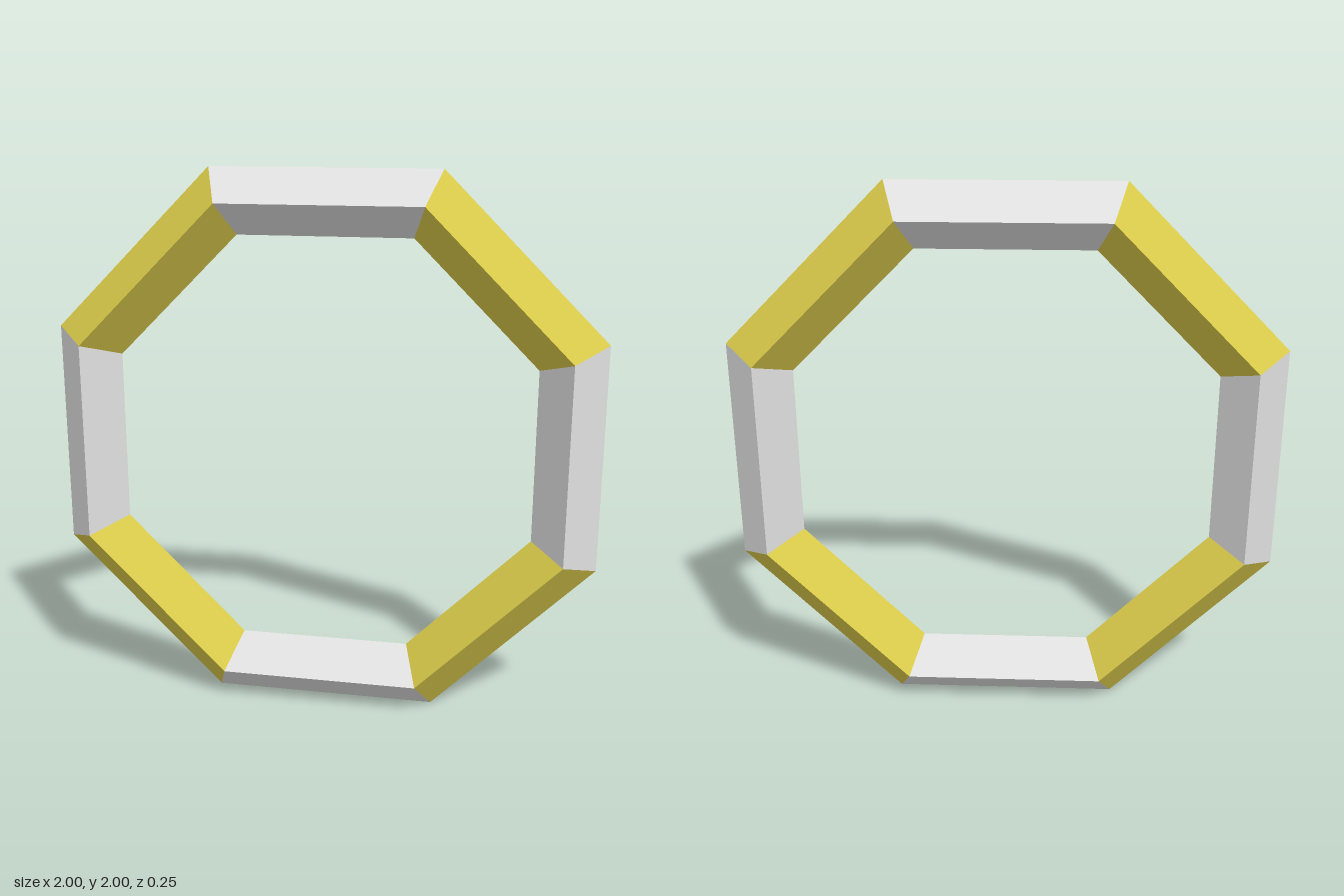
import * as THREE from 'three';

const SIDES = 8;
const TAN = Math.tan(Math.PI / SIDES);
// Diamond cross-section: [distance from ring centre, z]
const PROFILE = [[1, 0], [0.882, 0.127], [0.764, 0], [0.882, -0.127]];

// One straight bar along x at the top of the ring, with mitred ends
function mitredBar() {
  const positions = [];
  PROFILE.forEach(([r0, z0], i) => {
    const [r1, z1] = PROFILE[(i + 1) % PROFILE.length];
    const a = [-r0 * TAN, r0, z0];
    const b = [r0 * TAN, r0, z0];
    const c = [r1 * TAN, r1, z1];
    const d = [-r1 * TAN, r1, z1];
    positions.push(...a, ...c, ...b, ...a, ...d, ...c);
  });
  const geometry = new THREE.BufferGeometry();
  geometry.setAttribute('position', new THREE.Float32BufferAttribute(positions, 3));
  geometry.computeVertexNormals();
  return geometry;
}

export function createModel() {
  const white = new THREE.MeshStandardMaterial({ color: 0xe0e0e0 });
  white.name = 'white';
  const yellow = new THREE.MeshStandardMaterial({ color: 0xdacb4b });
  yellow.name = 'yellow';

  const model = new THREE.Group();
  model.name = 'octagonalRing';

  // Eight bars around the ring, alternating colours
  const bar = mitredBar();
  for (let i = 0; i < SIDES; i++) {
    const mesh = new THREE.Mesh(bar, i % 2 ? yellow : white);
    mesh.name = i % 2 ? 'diagonalBar' : 'straightBar';
    mesh.position.y = 1;
    mesh.rotation.z = (i * 2 * Math.PI) / SIDES;
    model.add(mesh);
  }
  return model;
}
